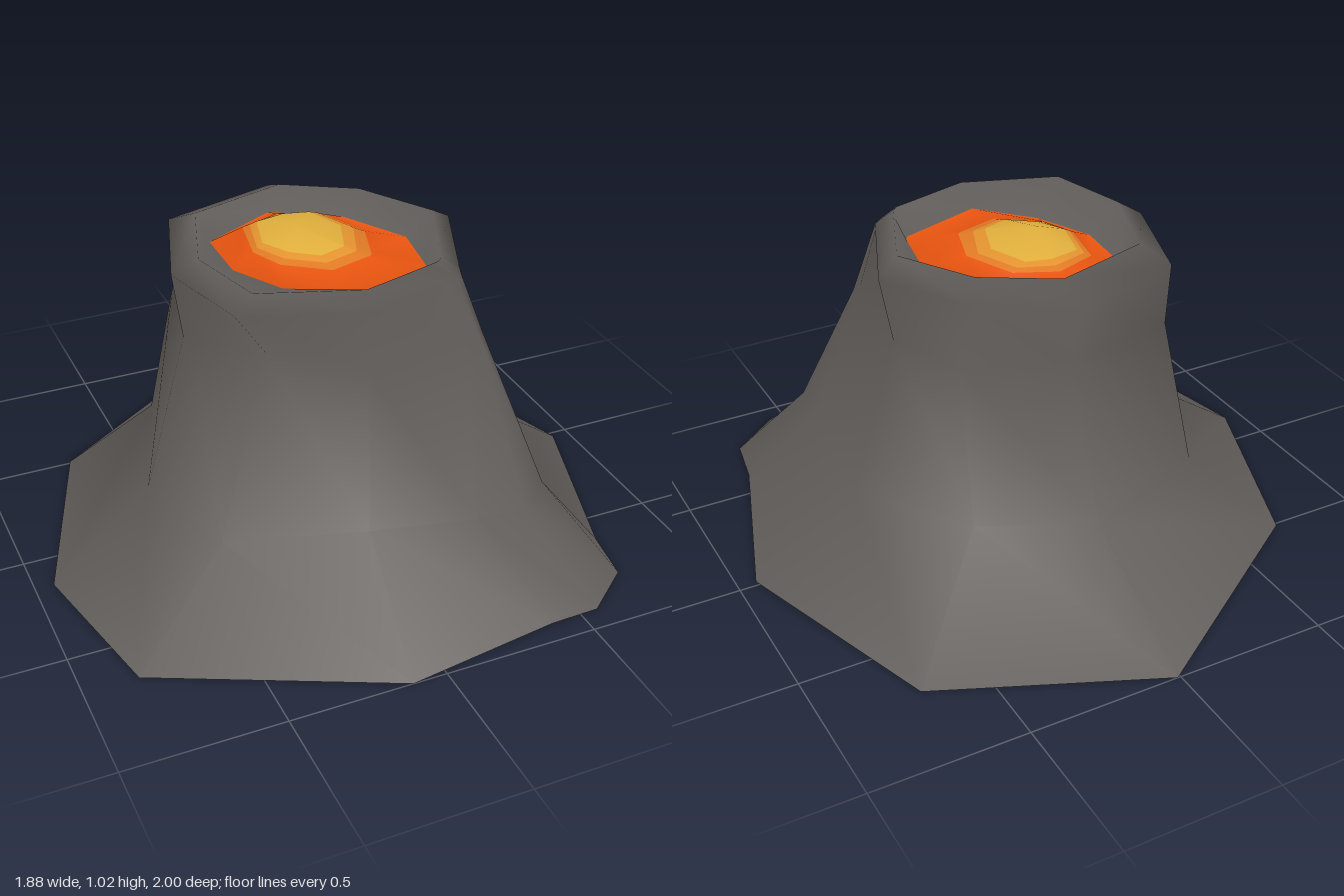
import * as THREE from 'three';
import { mergeVertices } from 'three/addons/utils/BufferGeometryUtils.js';

const materials = [
  ['darkRock', 0x605c59], ['redOrangeLava', 0xe8540f], ['deepOrangeLava', 0xe07a25],
  ['orangeLava', 0xe3932f], ['yellowLava', 0xe0af3c],
].map(([name, color]) => new THREE.MeshStandardMaterial({ name, color, side: THREE.DoubleSide }));

// Corners run back, back +x, +x, front +x, front, front -x, -x, back -x as [x, z].
const neck = [[0.02, -0.37], [0.31, -0.19], [0.43, 0.02], [0.40, 0.42], [-0.03, 0.49], [-0.30, 0.37], [-0.45, 0.06], [-0.36, -0.29]];
const rim = [[0.03, -0.43], [0.30, -0.27], [0.47, 0.02], [0.31, 0.41], [-0.03, 0.51], [-0.40, 0.38], [-0.48, 0.06], [-0.36, -0.31]];
const lip = rim.map(([x, z]) => [x * 0.835, 0.07 + (z - 0.04) * 0.83]);
const lavaEdge = [[-0.02, -0.31], [0.19, -0.17], [0.30, 0.06], [0.26, 0.29], [-0.03, 0.39], [-0.19, 0.23], [-0.28, 0.05], [-0.27, -0.18]];
const lavaMid = [[-0.03, -0.20], [0.10, -0.14], [0.17, 0.03], [0.12, 0.19], [-0.03, 0.235], [-0.16, 0.14], [-0.205, 0.03], [-0.17, -0.15]];
const lavaInner = [[-0.03, -0.175], [0.08, -0.135], [0.14, 0.01], [0.08, 0.165], [-0.035, 0.20], [-0.14, 0.125], [-0.19, 0.025], [-0.15, -0.14]];
const lavaCore = [[-0.03, -0.15], [0.05, -0.13], [0.10, 0], [0.05, 0.14], [-0.04, 0.17], [-0.12, 0.11], [-0.17, 0.02], [-0.13, -0.13]];
const tip = lavaCore.map(() => [-0.06, 0.01]);

// Lower slopes carry four points on the front +x ridge instead of one.
const foot = [[0.01, -1], [0.70, -0.70], [0.94, 0.02], [0.75, 0.61], [0.72, 0.79], [0.56, 0.92], [0.40, 0.925], [-0.11, 1], [-0.83, 0.66], [-0.94, 0.14], [-0.70, -0.51]];
const skirt = [[0.02, -0.55], [0.355, -0.365], [0.58, 0.02], [0.53, 0.49], [0.53, 0.60], [0.43, 0.67], [0.27, 0.66], [-0.07, 0.61], [-0.49, 0.46], [-0.60, 0.09], [-0.44, -0.35]];

const mix = (a, b, t) => [a[0] + (b[0] - a[0]) * t, a[1] + (b[1] - a[1]) * t];

// Splits the front +x corner into four points so the ring matches the ridge.
function withRidge(ring) {
  const [before, c, after] = ring.slice(2, 5);
  return [...ring.slice(0, 3), mix(c, before, 0.16), mix(c, before, 0.05),
    mix(c, after, 0.05), mix(c, after, 0.16), ...ring.slice(4)];
}

// One smooth skin over [ring, height(s), material of the band above] sections.
function loft(sections) {
  const n = foot.length;
  const positions = [], index = [];
  const geometry = new THREE.BufferGeometry();
  for (const [ring, y] of sections) {
    ring.forEach(([x, z], j) => positions.push(x, Array.isArray(y) ? y[j] : y, z));
  }
  for (let i = 0; i < sections.length - 1; i++) {
    geometry.addGroup(index.length, n * 6, sections[i][2]);
    for (let j = 0; j < n; j++) {
      const a = i * n + j, b = i * n + (j + 1) % n;
      index.push(a, a + n, b + n, a, b + n, b);
    }
  }
  geometry.setAttribute('position', new THREE.Float32BufferAttribute(positions, 3));
  geometry.setIndex(index);
  const welded = mergeVertices(geometry);
  welded.computeVertexNormals();
  return welded;
}

export function createModel() {
  const group = new THREE.Group();
  group.name = 'volcano';

  const mountain = new THREE.Mesh(loft([
    // Open-bottomed slopes, flared rim and crater wall
    [foot, 0, 0],
    [skirt, [0.27, 0.26, 0.24, 0.25, 0.28, 0.25, 0.25, 0.27, 0.25, 0.24, 0.26], 0],
    [withRidge(neck), [0.75, 0.72, 0.74, 0.74, 0.74, 0.74, 0.74, 0.75, 0.81, 0.74, 0.75], 0],
    [withRidge(rim), 0.96, 0],
    [withRidge(lip), 1.008, 0],
    // Domed lava pool in bands, hottest at the centre
    [withRidge(lavaEdge), [0.92, 0.925, 0.935, 0.94, 0.94, 0.94, 0.94, 0.94, 0.935, 0.93, 0.92], 1],
    [withRidge(lavaMid), 0.966, 2],
    [withRidge(lavaInner), 0.976, 3],
    [withRidge(lavaCore), 0.987, 4],
    [withRidge(tip), 1.025],
  ]), materials);
  mountain.name = 'mountainWithLava';
  group.add(mountain);

  return group;
}
